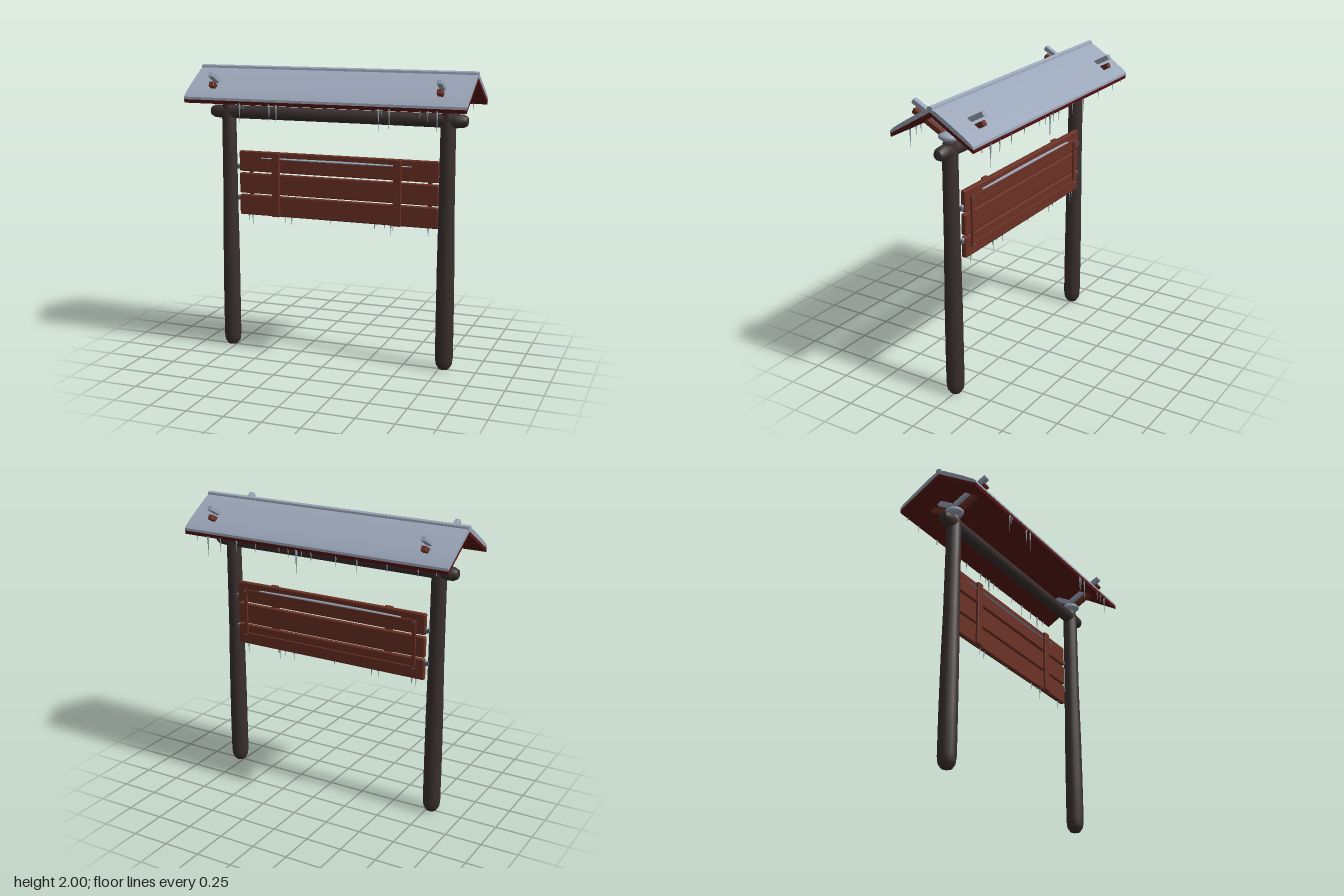
import * as THREE from 'three';
import { RoundedBoxGeometry } from 'three/addons/geometries/RoundedBoxGeometry.js';
import { toCreasedNormals } from 'three/addons/utils/BufferGeometryUtils.js';

const mat = (name, color) => {
  const m = new THREE.MeshStandardMaterial({ color });
  m.name = name;
  return m;
};

export function createModel() {
  const log = mat('dark log', 0x3a302f);
  const wood = mat('red brown wood', 0x6b3024);
  const roofRed = mat('dark red roof', 0x561412);
  const snow = mat('grey blue snow', 0x9aa5b8);
  const ice = mat('ice', 0x90a3ad);
  const metal = mat('metal', 0x5c626b);

  const model = new THREE.Group();
  model.name = 'signShelter';

  const add = (name, geo, material, x = 0, y = 0, z = 0, parent = model) => {
    const m = new THREE.Mesh(geo, material);
    m.name = name;
    m.position.set(x, y, z);
    parent.add(m);
    return m;
  };
  const block = (name, w, h, d, material, x, y, z, r = 0.005) =>
    add(name, new RoundedBoxGeometry(w, h, d, 1, r), material, x, y, z);

  // Round log standing on its origin, from [radius, height] pairs
  const logGeo = (profile) => toCreasedNormals(
    new THREE.LatheGeometry(profile.map(([r, y]) => new THREE.Vector2(r, y)), 14), 0.6);

  // Section given as [z, y] pairs, extruded along x
  const prism = (pts, length) => {
    const s = new THREE.Shape(pts.map(([z, y]) => new THREE.Vector2(-z, y)));
    const g = new THREE.ExtrudeGeometry(s, { depth: length, bevelEnabled: false });
    g.translate(0, 0, -length / 2).rotateY(Math.PI / 2);
    return toCreasedNormals(g, 0.4);
  };

  // Posts, leaning slightly inwards in the upper half
  for (const side of [-1, 1]) {
    const g = logGeo([[0, 0], [0.035, 0.006], [0.054, 0.035], [0.06, 0.08], [0.06, 0.35],
      [0.058, 0.7], [0.053, 1.05], [0.051, 1.4], [0.05, 1.66], [0.042, 1.73], [0, 1.75]]);
    const p = g.attributes.position;
    for (let i = 0; i < p.count; i++) {
      const t = THREE.MathUtils.smoothstep(p.getY(i), 0.3, 1.2);
      p.setX(i, p.getX(i) - side * 0.004 * t);
    }
    add('post', g, log, side * 0.782);
  }

  // Cross beam with rounded ends
  const beam = add('crossBeam', logGeo([[0, -0.912], [0.03, -0.905], [0.043, -0.88], [0.046, -0.83],
    [0.045, -0.4], [0.045, 0.4], [0.046, 0.83], [0.043, 0.88], [0.03, 0.905], [0, 0.912]]), log, 0, 1.68, 0);
  beam.rotation.z = Math.PI / 2;

  // Gable roof boards and the snow lying on each slope
  add('roofBoards', prism([[0.295, 1.762], [0.298, 1.785], [0, 1.962], [-0.298, 1.785],
    [-0.295, 1.762], [0, 1.938]], 1.93), roofRed);
  for (const side of [-1, 1]) {
    const pts = [[0.297, 1.785], [0.296, 1.802], [0.275, 1.823], [0.2, 1.873], [0.12, 1.922],
      [0.05, 1.964], [0, 1.987], [0, 1.962]].map(([z, y]) => [side * z, y]);
    add('roofSnow', prism(side > 0 ? pts : pts.reverse(), 1.934), snow);
  }
  add('ridgeSnow', prism([[0.02, 1.972], [0.017, 1.992], [0, 2], [-0.017, 1.992], [-0.02, 1.972]], 1.94), snow);

  // Crossed arms poking through the roof, each with its snow, above a snowy post top
  const slope = 0.5;
  const arm = (name, thick, inner, outer, yBase, side, x, material) => {
    const len = (outer - inner) / Math.cos(slope);
    const mid = (inner + outer) / 2;
    const m = block(name, 0.036, thick, len, material, x, yBase + mid * Math.tan(slope), side * mid);
    m.rotation.x = -side * slope;
  };
  for (const x of [-0.782, 0.782]) {
    for (const side of [-1, 1]) {
      arm('roofArm', 0.036, -0.02, 0.255, 1.752, side, x, wood);
      arm('roofArmSnow', 0.034, 0, 0.255, 1.812, side, x, snow);
    }
    const cap = add('postTopSnow', new THREE.SphereGeometry(1, 14, 8), snow, x, 1.765, 0);
    cap.scale.set(0.06, 0.03, 0.072);
  }

  // Sign: three planks, two front battens and a rear frame
  for (const y of [1.026, 1.179, 1.334]) block('signPlank', 1.436, 0.143, 0.036, wood, -0.002, y, -0.042, 0.01);
  for (const x of [-0.44, 0.435]) block('frontBatten', 0.056, 0.45, 0.022, wood, x, 1.18, -0.016);
  for (const y of [1.03, 1.345]) block('rearFrameRail', 1.32, 0.026, 0.014, wood, 0, y, -0.066, 0.003);
  for (const x of [-0.647, 0.647]) {
    block('rearFrameStile', 0.026, 0.32, 0.014, wood, x, 1.187, -0.066, 0.003);
    for (const y of [1.03, 1.345]) {
      const bolt = add('bolt', new THREE.CylinderGeometry(0.008, 0.008, 0.008, 8), metal, x, y, -0.075);
      bolt.rotation.x = Math.PI / 2;
    }
  }

  // Snow ledge on the sign
  const ledge = add('signSnow', new THREE.CylinderGeometry(1, 1, 1.08, 8, 6), snow, -0.01, 1.361, -0.045);
  const lp = ledge.geometry.attributes.position;
  for (let i = 0; i < lp.count; i++) {
    const w = 1 - 0.6 * Math.pow(Math.abs(lp.getY(i)) / 0.54, 2);
    lp.setX(i, lp.getX(i) * 0.012 * w);
    lp.setZ(i, lp.getZ(i) * 0.031);
  }
  ledge.geometry.computeVertexNormals();
  ledge.rotation.z = Math.PI / 2;

  // Brackets holding the sign between the posts
  for (const x of [-0.725, 0.722]) {
    for (const y of [1.07, 1.292]) {
      block('bracket', 0.045, 0.03, 0.02, metal, x, y, -0.04, 0.004);
      add('bracketSnow', new THREE.SphereGeometry(0.012, 8, 6), snow, x, y + 0.012, -0.04);
    }
  }

  // Icicles as [x, length] pairs
  const icicles = (name, list, y, z) => {
    for (const [x, len] of list) {
      const r = 0.004 + len * 0.03;
      const g = new THREE.LatheGeometry([[0, -len], [r * 0.3, -len * 0.6], [r * 0.6, -len * 0.25],
        [r, 0], [0, 0.004]].map(([a, b]) => new THREE.Vector2(a, b)), 6);
      add(name, g, ice, x, y, z);
    }
  };
  icicles('frontEaveIcicle', [[-0.56, 0.13], [-0.535, 0.06], [-0.35, 0.13], [-0.3, 0.14], [0.4, 0.14],
    [0.42, 0.06], [0.47, 0.14], [0.67, 0.06], [0.72, 0.08], [0.78, 0.14]], 1.77, 0.292);
  icicles('rearEaveIcicle', [[-0.89, 0.04], [-0.77, 0.06], [-0.56, 0.07], [-0.35, 0.1], [-0.2, 0.08],
    [-0.02, 0.08], [0.05, 0.06], [0.09, 0.18], [0.15, 0.06], [0.22, 0.05], [0.4, 0.06], [0.55, 0.09],
    [0.68, 0.1], [0.78, 0.15], [0.87, 0.05]], 1.77, -0.292);
  icicles('signIcicle', [[-0.66, 0.06], [-0.63, 0.08], [-0.385, 0.05], [-0.335, 0.07], [-0.05, 0.04],
    [0.27, 0.06], [0.34, 0.04], [0.385, 0.08], [0.395, 0.05], [0.645, 0.08]], 0.958, -0.045);

  return model;
}
